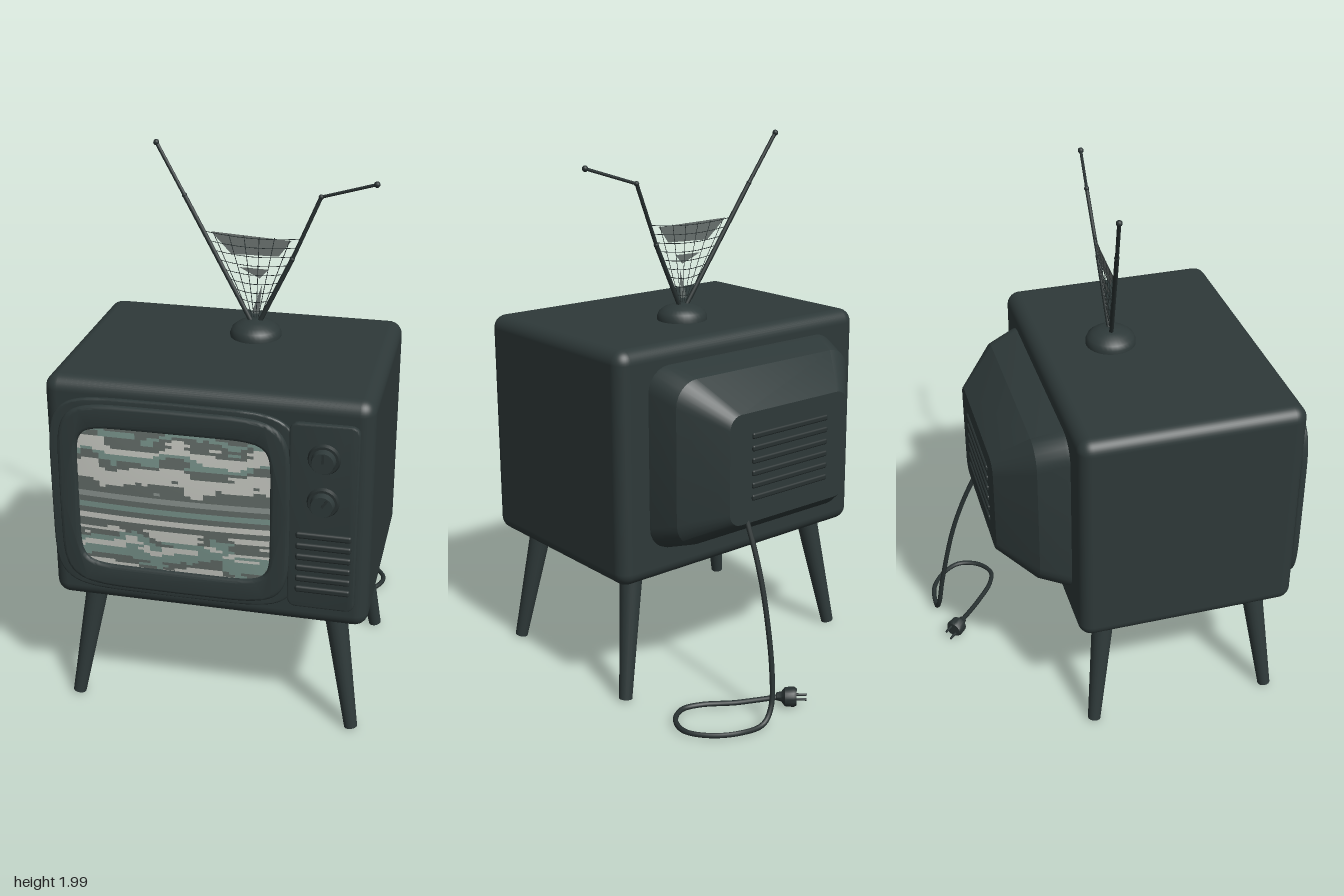
import * as THREE from 'three';
import { toCreasedNormals } from 'three/addons/utils/BufferGeometryUtils.js';
import { RoundedBoxGeometry } from 'three/addons/geometries/RoundedBoxGeometry.js';

const V = (x, y, z) => new THREE.Vector3(x, y, z);

export function createModel() {
  const root = new THREE.Group();
  const mat = (name, color, side = THREE.FrontSide) => {
    const m = new THREE.MeshStandardMaterial({ color, side });
    m.name = name;
    return m;
  };
  const casing = mat('casing', 0x2e3939);
  const trim = mat('trim', 0x283131);
  const webGrey = mat('webGrey', 0x6b7371, THREE.DoubleSide);
  const screenMats = [mat('staticDark', 0x626b67), mat('staticTeal', 0x78938b),
    mat('staticPale', 0xc6c8c1), mat('staticMid', 0x8b9490)];

  const add = (name, geo, material, x = 0, y = 0, z = 0, parent = root) => {
    const m = new THREE.Mesh(geo, material);
    m.name = name;
    m.position.set(x, y, z);
    parent.add(m);
    return m;
  };
  // Tapered round bar between two points
  const bar = (name, a, b, ra, rb, material, sides = 8) => {
    const d = b.clone().sub(a);
    const m = add(name, new THREE.CylinderGeometry(rb, ra, d.length(), sides), material);
    m.position.copy(a).addScaledVector(d, 0.5);
    m.quaternion.setFromUnitVectors(V(0, 1, 0), d.normalize());
    return m;
  };
  // Bulging rounded outline
  const squircle = (a, b, n, count = 96) => Array.from({ length: count }, (_, i) => {
    const t = (i / count) * Math.PI * 2, c = Math.cos(t), s = Math.sin(t);
    return new THREE.Vector2(a * Math.sign(c) * Math.abs(c) ** (2 / n), b * Math.sign(s) * Math.abs(s) ** (2 / n));
  });
  // Rounded rectangle ring, counter-clockwise
  const roundRect = (a, b, r, k = 6) => {
    const pts = [];
    [[1, 1], [-1, 1], [-1, -1], [1, -1]].forEach(([sx, sy], q) => {
      for (let i = 0; i <= k; i++) {
        const t = (q + i / k) * Math.PI / 2;
        pts.push(new THREE.Vector2(sx * (a - r) + r * Math.cos(t), sy * (b - r) + r * Math.sin(t)));
      }
    });
    return pts;
  };
  const plate = (outline, hole, depth, bevel) => {
    const s = new THREE.Shape(outline);
    if (hole) s.holes.push(new THREE.Path(hole));
    const g = new THREE.ExtrudeGeometry(s, { depth: depth - bevel, bevelEnabled: true, bevelThickness: bevel,
      bevelSize: bevel, bevelOffset: -bevel, bevelSegments: 3 });
    return toCreasedNormals(g, 0.6);
  };

  // Cabinet
  add('cabinet', new RoundedBoxGeometry(1.13, 0.855, 0.82, 5, 0.05), casing, 0, 0.893, 0.18);

  // Tapered rear housing
  const rings = [[0.445, 0.335, 0.09, 0.915, -0.22], [0.44, 0.333, 0.09, 0.915, -0.24],
    [0.41, 0.3, 0.09, 0.915, -0.34], [0.28, 0.2, 0.05, 0.9, -0.47]];
  const pos = [], idx = [];
  const n = 28;
  for (const [a, b, r, y, z] of rings) for (const p of roundRect(a, b, r)) pos.push(p.x, p.y + y, z);
  const hub = pos.length / 3, last = (rings.length - 1) * n;
  pos.push(0, 0.9, -0.47);
  for (let j = 0; j < n; j++) {
    const k = (j + 1) % n;
    for (let i = 0; i < rings.length - 1; i++) {
      const a = i * n + j, b = i * n + k;
      idx.push(a, a + n, b, b, a + n, b + n);
    }
    idx.push(hub, last + k, last + j);
  }
  const back = new THREE.BufferGeometry();
  back.setAttribute('position', new THREE.Float32BufferAttribute(pos, 3));
  back.setIndex(idx);
  add('rearHousing', toCreasedNormals(back, 0.4), casing);
  for (let i = 0; i < 6; i++)
    add('rearVent', new RoundedBoxGeometry(0.36, 0.022, 0.016, 2, 0.007), trim, 0, 0.79 + i * 0.045, -0.47);

  // Screen surround and control panel
  const cx = -0.112, cy = 0.893;
  add('surroundBase', plate(squircle(0.437, 0.372, 6), squircle(0.36, 0.29, 8), 0.02, 0.006), casing, cx, cy, 0.583);
  add('surround', plate(squircle(0.405, 0.352, 6), squircle(0.338, 0.266, 8), 0.025, 0.012), casing, cx, cy, 0.593);
  add('controlPanel', plate(roundRect(0.117, 0.349, 0.03), null, 0.022, 0.006), casing, 0.404, cy, 0.585);

  // Screen with banded static, cells sorted by colour
  const cols = 32, rows = 52;
  const glass = new THREE.PlaneGeometry(0.69, 0.55, cols, rows);
  const gp = glass.attributes.position;
  for (let i = 0; i < gp.count; i++)
    gp.setZ(i, 0.014 * (1 - (gp.getX(i) / 0.345) ** 2) * (1 - (gp.getY(i) / 0.275) ** 2));
  const bands = 'DTDPPTDPPPDDMDTDPDPDTPTTDP', key = 'DTPM';
  let seed = 7;
  const rnd = () => (seed = (seed * 16807) % 2147483647) / 2147483647;
  const old = Array.from(glass.index.array), buckets = [[], [], [], []];
  for (let r = 0; r < rows; r++) {
    const calm = r > 22 && r < 36 ? 0 : 1;
    let glitch = 0;
    for (let c = 0; c < cols; c++) {
      if (rnd() < 0.12) glitch = calm * Math.round((rnd() - 0.5) * 3);
      const wave = calm * Math.round(1.4 * Math.sin(c * 0.42 + r * 0.12) + 0.7 * Math.sin(c * 0.9));
      const band = Math.min(25, Math.max(0, Math.floor((r + wave + glitch) / 2)));
      const cell = (r * cols + c) * 6;
      buckets[key.indexOf(bands[band])].push(...old.slice(cell, cell + 6));
    }
  }
  glass.setIndex(buckets.flat());
  let start = 0;
  buckets.forEach((b, i) => { glass.addGroup(start, b.length, i); start += b.length; });
  glass.computeVertexNormals();
  add('screen', glass, screenMats, cx, cy, 0.602);

  // Knobs and speaker slats
  for (const [y, turn] of [[1.12, 0], [0.96, -0.6]]) {
    const knob = new THREE.Group();
    knob.name = 'knob';
    knob.position.set(0.405, y, 0.605);
    root.add(knob);
    add('knobSkirt', new THREE.CylinderGeometry(0.05, 0.057, 0.016, 32).rotateX(Math.PI / 2), trim, 0, 0, 0.006, knob);
    add('knobCap', new THREE.CylinderGeometry(0.037, 0.042, 0.026, 32).rotateX(Math.PI / 2), casing, 0, 0, 0.025, knob);
    add('knobPointer', new THREE.BoxGeometry(0.008, 0.034, 0.005).translate(0, 0.018, 0), trim, 0, 0, 0.038, knob);
    knob.rotation.z = turn;
  }
  for (let i = 0; i < 6; i++)
    add('speakerSlat', new RoundedBoxGeometry(0.19, 0.024, 0.018, 2, 0.008), trim, 0.41, 0.62 + i * 0.042, 0.608);

  // Splayed legs
  for (const s of [-1, 1]) for (const [zt, zb] of [[0.47, 0.527], [-0.11, -0.17]])
    bar('leg', V(s * 0.517, 0.01, zb), V(s * 0.437, 0.48, zt), 0.024, 0.042, casing, 20);

  // Antenna base and rods
  const dome = [[0.093, 0], [0.093, 0.015], [0.086, 0.032], [0.068, 0.047], [0.04, 0.058], [0, 0.062]];
  add('antennaBase', new THREE.LatheGeometry(dome.map(p => new THREE.Vector2(...p)), 32), casing, 0.06, 1.318, 0.057);
  const rodL = [V(0.045, 1.365, 0.055), V(-0.214, 1.807, -0.003), V(-0.32, 1.985, -0.028)];
  const rodR = [V(0.07, 1.365, 0.055), V(0.187, 1.61, 0.045), V(0.283, 1.837, 0.03), V(0.478, 1.9, 0.061)];
  for (const rod of [rodL, rodR]) {
    for (let i = 0; i < rod.length - 1; i++) {
      const r = 0.0085 - i * 0.0014;
      bar('antennaRod', rod[i], rod[i + 1], r, r, trim);
      const end = i === rod.length - 2;
      add('antennaJoint', new THREE.SphereGeometry(end ? 0.011 : 0.0095, 12, 8), trim, ...rod[i + 1].toArray());
    }
  }

  // Cobweb between the rods; s runs left to right, y is height
  const web = (s, y) => {
    const l = rodL[0].clone().lerp(rodL[1], (y - 1.365) / 0.442);
    const r = rodR[0].clone().lerp(rodR[2], (y - 1.365) / 0.472);
    return l.lerp(r, s);
  };
  const strand = (a, b) => bar('webStrand', a, b, 0.0013, 0.0013, trim, 4);
  for (const s of [0.1, 0.26, 0.42, 0.58, 0.74, 0.9]) strand(web(s, 1.385), web(s, 1.68));
  for (let i = 0; i < 9; i++) {
    const y = 1.42 + i * 0.033;
    for (let j = 0; j < 6; j++) {
      const sag = s => y - 0.05 * s * (1 - s);
      strand(web(j / 6, sag(j / 6)), web((j + 1) / 6, sag((j + 1) / 6)));
    }
  }
  const patches = [[[0.08, 1.685], [0.22, 1.61], [0.84, 1.615], [0.92, 1.675]],
    [[0.28, 1.565], [0.62, 1.53], [0.75, 1.565]], [[0.3, 1.4], [0.75, 1.4], [0.68, 1.51]]];
  for (const p of patches) {
    const g = new THREE.BufferGeometry().setFromPoints(p.map(q => web(...q)));
    g.setIndex(p.length === 4 ? [0, 1, 2, 0, 2, 3] : [0, 1, 2]);
    g.computeVertexNormals();
    add('webPatch', g, webGrey);
  }

  // Power cord and plug
  const cord = new THREE.CatmullRomCurve3([[0.193, 0.73, -0.45], [0.196, 0.6, -0.51], [0.2, 0.45, -0.562],
    [0.21, 0.2, -0.617], [0.228, 0.07, -0.635], [0.27, 0.02, -0.642], [0.383, 0.02, -0.632], [0.47, 0.02, -0.575],
    [0.512, 0.02, -0.5], [0.486, 0.02, -0.42], [0.42, 0.02, -0.378], [0.348, 0.02, -0.396], [0.25, 0.022, -0.465],
    [0.19, 0.03, -0.51], [0.12, 0.042, -0.565]].map(p => V(...p)));
  add('cord', new THREE.TubeGeometry(cord, 120, 0.0095, 8), trim);
  const plug = new THREE.Group();
  plug.name = 'plug';
  plug.position.set(0.097, 0.043, -0.585);
  plug.quaternion.setFromUnitVectors(V(0, 1, 0), V(-0.72, 0, -0.69).normalize());
  root.add(plug);
  const profile = [[0, -0.045], [0.014, -0.043], [0.018, -0.025], [0.034, -0.012], [0.036, 0.02], [0.03, 0.03], [0, 0.03]];
  add('plugBody', toCreasedNormals(new THREE.LatheGeometry(profile.map(p => new THREE.Vector2(...p)), 20), 0.7), trim, 0, 0, 0, plug);
  for (const s of [-1, 1]) add('plugPin', new THREE.CylinderGeometry(0.005, 0.005, 0.04, 8), trim, s * 0.017, 0.046, s * 0.003, plug);

  return root;
}
